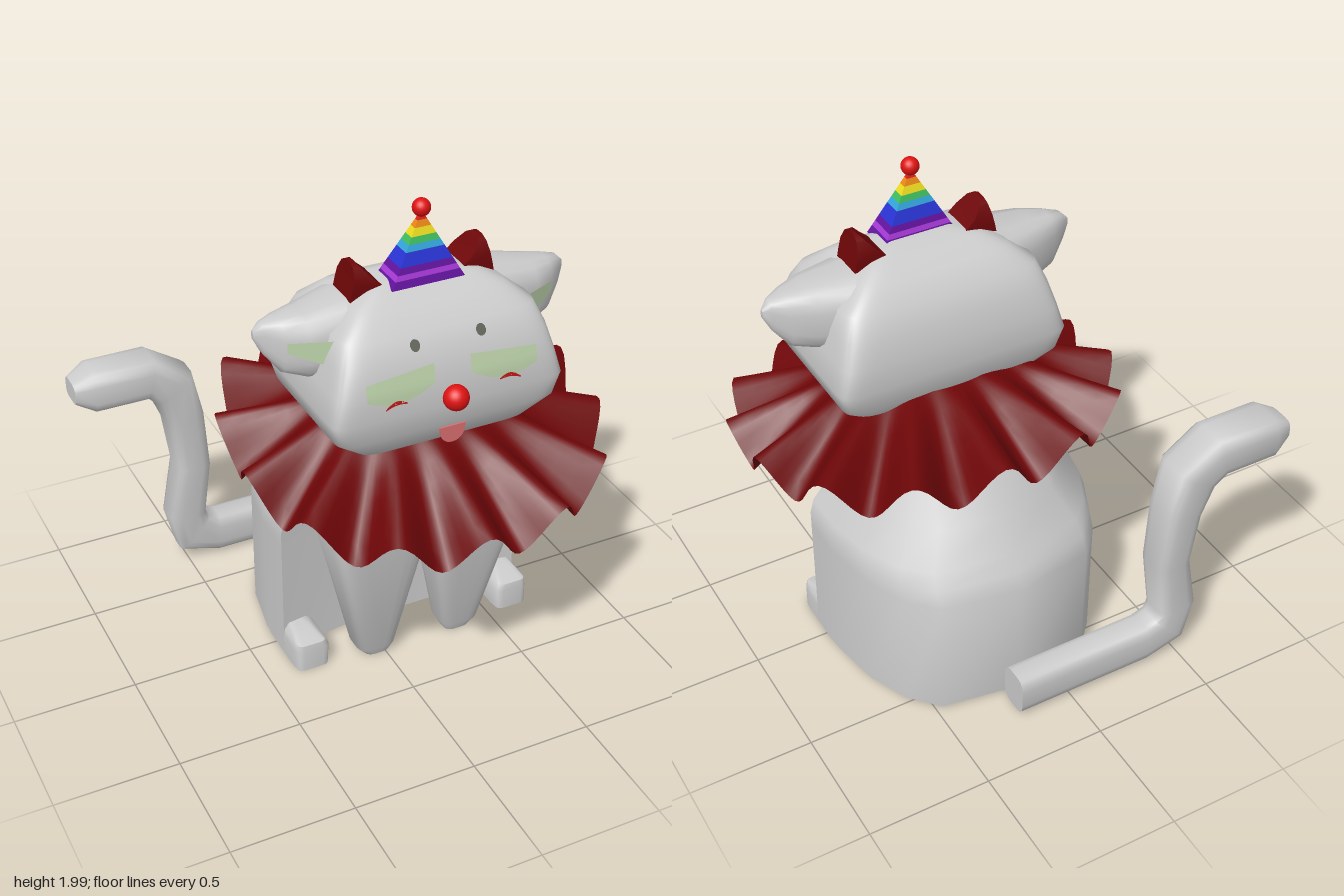
import * as THREE from 'three';
import { toCreasedNormals } from 'three/addons/utils/BufferGeometryUtils.js';

const GREY = 0xcccccc, RUFF = 0x6e0608, RED = 0xe01212, GREEN = 0xbdd3ab;
const V = (x, y, z) => new THREE.Vector3(x, y, z);

function mesh(name, geo, color = GREY, thin = false) {
  const mat = new THREE.MeshStandardMaterial({ color });
  if (thin) mat.side = THREE.DoubleSide;
  const m = new THREE.Mesh(geo, mat);
  m.name = name;
  return m;
}

// Superellipse offsets: n = 2 is an ellipse, a large n a rectangle
const power = (c, n) => Math.sign(c) * Math.abs(c) ** (2 / n);
function outline(rx, rz, n, seg) {
  return Array.from({ length: seg }, (_, i) => {
    const t = (i + 0.5) / seg * Math.PI * 2;
    return [rx * power(Math.cos(t), n), rz * power(Math.sin(t), n)];
  });
}

// Skin between rings of points, with capped ends
function skin(rings, crease = 0.75) {
  const pos = [], s = rings[0].length, last = rings.length - 1;
  const tri = (...p) => p.forEach((v) => pos.push(v.x, v.y, v.z));
  const mid = (r) => r.reduce((a, p) => a.add(p), V(0, 0, 0)).divideScalar(s);
  const c0 = mid(rings[0]), c1 = mid(rings[last]);
  for (let i = 0; i < s; i++) {
    const j = (i + 1) % s;
    tri(c0, rings[0][i], rings[0][j]);
    tri(c1, rings[last][j], rings[last][i]);
    for (let k = 0; k < last; k++) {
      const a = rings[k], b = rings[k + 1];
      tri(a[i], b[i], a[j]);
      tri(a[j], b[i], b[j]);
    }
  }
  const g = new THREE.BufferGeometry();
  g.setAttribute('position', new THREE.Float32BufferAttribute(pos, 3));
  return toCreasedNormals(g, crease);
}

// Upright loft; each row is [y, x0, x1, z0, z1] with an optional squareness
const loft = (rows, n = 4, seg = 32, crease) => skin(rows.map(([y, x0, x1, z0, z1, own = n]) =>
  outline((x1 - x0) / 2, (z1 - z0) / 2, own, seg).map(([x, z]) => V((x0 + x1) / 2 + x, y, (z0 + z1) / 2 + z))), crease);
const symmetric = (rows) => rows.map(([y, r, ...rest]) => [y, -r, r, ...rest]);

// Head rows: y, half width, back z, front z, squareness
const HEAD = [[1.09, 0.22, -0.05, 0.37, 6], [1.13, 0.36, -0.12, 0.43, 10], [1.21, 0.455, -0.16, 0.465, 15],
  [1.3, 0.48, -0.175, 0.475, 16], [1.4, 0.455, -0.165, 0.465, 13], [1.5, 0.43, -0.14, 0.44, 10],
  [1.58, 0.4, -0.1, 0.39, 9], [1.65, 0.31, -0.03, 0.31, 9], [1.69, 0.23, 0.04, 0.25, 8], [1.715, 0.12, 0.1, 0.2, 8]];

function headFront(x, y) {
  const k = Math.max(0, HEAD.findIndex((r) => r[0] > y) - 1);
  const a = HEAD[k], b = HEAD[k + 1], t = (y - a[0]) / (b[0] - a[0]);
  const [, r, z0, z1, n] = a.map((v, i) => v + (b[i] - v) * t);
  const q = Math.max(0, 1 - Math.abs(x / r) ** n) ** (1 / n);
  return (z0 + z1) / 2 + (z1 - z0) / 2 * q;
}

// Move every vertex by a rule
function reshape(geo, rule) {
  const p = geo.attributes.position;
  for (let i = 0; i < p.count; i++) p.setXYZ(i, ...rule(p.getX(i), p.getY(i)));
  geo.computeVertexNormals();
  return geo;
}
const drape = (geo, rule) => reshape(geo, (px, py) => {
  const [x, y] = rule(px, py);
  return [x, y, headFront(x, y) + 0.005];
});

// Parts that come in pairs, made for the +x side
function sideParts() {
  const g = new THREE.Group();
  g.add(mesh('frontLeg', loft([[0.01, 0.13, 0.24, 0.14, 0.25, 3.5], [0.05, 0.11, 0.275, 0.12, 0.265, 4],
    [0.64, 0.002, 0.41, 0.08, 0.362, 6], [0.8, 0.002, 0.41, 0.06, 0.371, 5], [0.95, 0.002, 0.35, 0.05, 0.34]], 4.5, 32, 0.9)));
  g.add(mesh('hindFoot', loft([[0.01, 0.39, 0.535, -0.1, 0.22], [0.1, 0.385, 0.535, -0.1, 0.22],
    [0.13, 0.4, 0.53, -0.1, 0.215], [0.155, 0.43, 0.51, -0.1, 0.12]], 7, 24)));

  // Ear lofted outwards along x
  const ear = loft([[0.28, -1.665, -1.375, -0.04, 0.29], [0.47, -1.64, -1.385, 0.03, 0.26],
    [0.555, -1.63, -1.41, 0.065, 0.215], [0.615, -1.615, -1.49, 0.1, 0.17], [0.645, -1.585, -1.55, 0.12, 0.14]], 3.2, 16);
  g.add(mesh('ear', ear.rotateZ(-Math.PI / 2)));
  g.add(mesh('innerEar', reshape(new THREE.PlaneGeometry(1, 1, 4, 2), (px, py) => {
    const u = px + 0.5;
    return [0.4 + 0.15 * u, 1.515 + 0.02 * u + py * (0.11 - 0.07 * u), 0.305 - 0.08 * u];
  }), GREEN, true));

  // Small red horn, upright outside and sloped inside, with an arched side
  g.add(mesh('horn', loft([[1.6, 0.155, 0.308, 0.07, 0.217], [1.69, 0.155, 0.29, 0.07, 0.217],
    [1.735, 0.205, 0.28, 0.073, 0.215], [1.775, 0.24, 0.272, 0.095, 0.195],
    [1.79, 0.255, 0.27, 0.125, 0.165]], Infinity, 4, 0.6), RUFF));

  // Face markings
  g.add(mesh('eyePatch', drape(new THREE.PlaneGeometry(1, 1, 10, 5), (px, py) => {
    const u = px + 0.5, low = 1.405 - 0.04 * Math.sin(Math.PI * u) - 0.02 * u, high = 1.475 - 0.025 * u;
    return [0.075 + 0.275 * u, low + (high - low) * (py + 0.5)];
  }), GREEN, true));
  g.add(mesh('browSpot', drape(new THREE.CircleGeometry(0.02, 12),
    (x, y) => [x + 0.135, y + 1.545]), 0x5f6358, true));
  g.add(mesh('closedEye', drape(new THREE.PlaneGeometry(1, 1, 10, 1), (px, py) =>
    [0.235 + px * 0.09, 1.345 + 0.014 * Math.cos(px * Math.PI) - 0.01 * px + py * 0.016 * Math.cos(px * 2.6)]),
  0xc01818, true));
  return g;
}

// Hips, haunches and back: one hull, rounded towards the back
function hips() {
  const half = [[0.2, 0.03], [0.535, 0.08], [0.535, -0.1], [0.495, -0.32], [0.42, -0.49], [0.32, -0.6]];
  const hull = [...half.map(([x, z]) => [-x, z]), [0, -0.655], ...half.slice().reverse()];
  const rows = [[0.02, 1, -0.65], [0.55, 1, -0.655], [0.61, 1, -0.62], [0.67, 0.97, -0.58],
    [0.79, 0.78, -0.5], [0.95, 0.7, -0.39], [1.07, 0.58, -0.3], [1.14, 0.42, -0.2]];
  return mesh('hips', skin(rows.map(([y, sx, back]) =>
    hull.map(([x, z]) => V(x * sx, y, 0.08 + (z - 0.08) * (0.08 - back) / 0.735))), 0.9));
}

// Pleated collar, tilted down at the front
function ruff() {
  const geo = reshape(new THREE.PlaneGeometry(1, 1, 168, 6), (px, py) => {
    const a = px * Math.PI * 2, v = py + 0.5, s = Math.sin(a), c = Math.cos(a);
    const wave = -Math.cos(14 * (a - 0.157)) * v;
    const z0 = 0.11 + 0.28 * c, r = 0.72 + 0.025 * wave + 0.025 * Math.sin(2 * a) ** 2, z1 = 0.08 + r * c;
    const y0 = 1.155 - 0.19 * (z0 - 0.11), y1 = 0.97 - 0.18 * (z1 - 0.08);
    return [0.36 * s * (1 - v) + (0.03 + 1.02 * r * s) * v, y0 + (y1 - y0) * v + 0.08 * wave, z0 + (z1 - z0) * v];
  });
  return mesh('ruff', geo, RUFF, true);
}

// Tail rows: x, y, radius, depth radius
function tail() {
  const rows = [[0.075, 0.11, 0.088, 0.068], [-0.51, 0.11, 0.09, 0.068], [-0.62, 0.145, 0.1, 0.07],
    [-0.65, 0.25, 0.085, 0.073], [-0.61, 0.5, 0.075, 0.082], [-0.635, 0.75, 0.083, 0.09],
    [-0.68, 0.91, 0.1, 0.097], [-0.78, 0.98, 0.092, 0.1], [-1.02, 0.98, 0.09, 0.1], [-1.1, 0.98, 0.045, 0.065]];
  const Z = V(0, 0, 1), at = (i) => V(rows[i][0], rows[i][1], -0.728);
  return mesh('tail', skin(rows.map(([, , r, rz], i) => {
    const T = at(Math.min(i + 1, rows.length - 1)).sub(at(Math.max(i - 1, 0))).normalize();
    const N = T.cross(Z);
    return outline(r, rz, 3.8, 16).map(([a, b]) => at(i).addScaledVector(N, a).addScaledVector(Z, b));
  }), 0.9));
}

// Striped pyramid hat with a ball on top
function hat() {
  const g = new THREE.Group();
  g.name = 'partyHat';
  const stripes = [[1.69, 0x6414a0], [1.72, 0xa83ad8], [1.74, 0x6414a0], [1.765, 0x2a35d8], [1.815, 0x35a8e0],
    [1.84, 0x40c060], [1.865, 0xf0e020], [1.895, 0xf08a18], [1.92, 0xe02018], [1.95]];
  const row = (y) => {
    const t = (1.95 - y) / 0.26 + 0.02;
    return [y, -0.146 * t, 0.146 * t, 0.19 - 0.07 * t, 0.19 + 0.07 * t];
  };
  for (let i = 0; i < stripes.length - 1; i++) {
    g.add(mesh('hatStripe', loft([row(stripes[i][0]), row(stripes[i + 1][0])], Infinity, 4, 0.3), stripes[i][1]));
  }
  const ball = mesh('hatBall', new THREE.SphereGeometry(0.035, 20, 14), RED);
  ball.position.set(0, 1.965, 0.19);
  g.add(ball);
  return g;
}

export function createModel() {
  const model = new THREE.Group();
  const cat = new THREE.Group();
  cat.name = 'cat';
  cat.position.x = 0.155;
  model.add(cat);

  cat.add(mesh('head', loft(symmetric(HEAD), 6, 56, 0.9)), hips());
  cat.add(mesh('torso', loft(symmetric([[0.655, 0.4, -0.3, 0.35], [0.8, 0.415, -0.3, 0.37], [0.95, 0.385, -0.27, 0.37],
    [1.06, 0.34, -0.24, 0.34], [1.13, 0.25, -0.16, 0.28]]), 3.2, 40)));

  const left = sideParts(), right = sideParts();
  left.name = 'leftParts';
  right.name = 'rightParts';
  right.scale.x = -1;
  cat.add(left, right, ruff(), tail(), hat());

  const nose = mesh('nose', new THREE.SphereGeometry(0.05, 24, 16), RED);
  nose.position.set(0, 1.33, 0.49);
  cat.add(nose);

  // Tongue with a rounded tip
  const tongue = new THREE.Shape();
  tongue.moveTo(-0.055, 1.2).lineTo(-0.05, 1.17).bezierCurveTo(-0.04, 1.115, 0.04, 1.115, 0.05, 1.17).lineTo(0.055, 1.2);
  const tongueMesh = mesh('tongue', new THREE.ExtrudeGeometry(tongue, { depth: 0.006, bevelEnabled: false }), 0xdc7070);
  tongueMesh.position.z = 0.467;
  cat.add(tongueMesh);
  return model;
}
